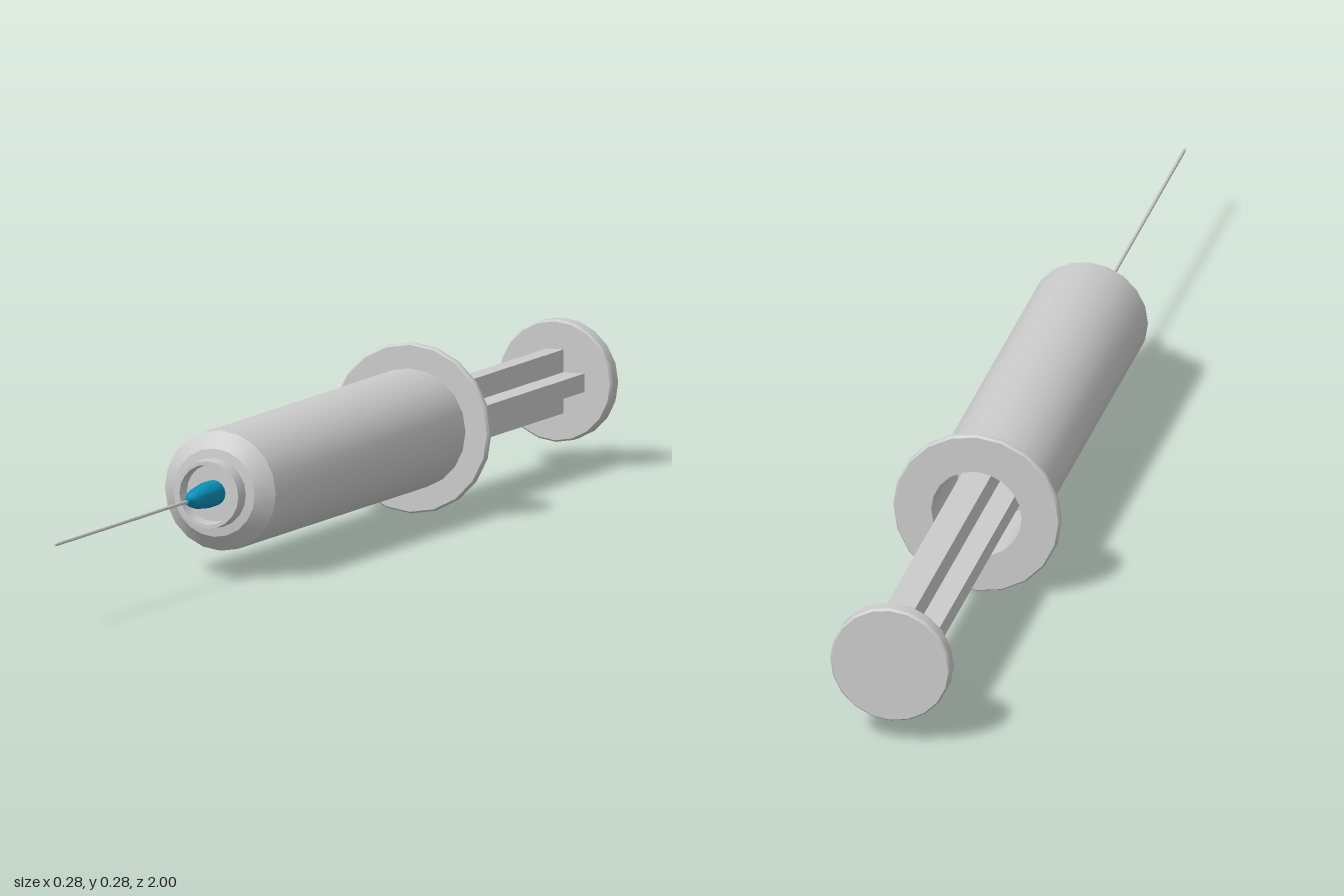
import * as THREE from 'three';
import { toCreasedNormals } from 'three/addons/utils/BufferGeometryUtils.js';

const AXIS_Y = 0.139;
const grey = new THREE.MeshStandardMaterial({ color: 0xcccccc, side: THREE.DoubleSide });
const blue = new THREE.MeshStandardMaterial({ color: 0x0a8fb8, side: THREE.DoubleSide });

// Revolves [radius, z] pairs around the long axis
function turned(name, profile, material = grey, sides = 20) {
  const points = profile.map(([r, z]) => new THREE.Vector2(r, z));
  const geometry = new THREE.LatheGeometry(points, sides).rotateX(Math.PI / 2);
  const mesh = new THREE.Mesh(toCreasedNormals(geometry, 0.5), material);
  mesh.name = name;
  return mesh;
}

// Plus-shaped bar running along z
function crossBar(halfWidth, halfThick, z0, z1) {
  const shape = new THREE.Shape();
  const w = halfWidth, t = halfThick;
  [[t, t], [t, w], [-t, w], [-t, t], [-w, t], [-w, -t],
    [-t, -t], [-t, -w], [t, -w], [t, -t], [w, -t], [w, t]]
    .forEach(([x, y], i) => (i ? shape.lineTo(x, y) : shape.moveTo(x, y)));
  const geometry = new THREE.ExtrudeGeometry(shape, { depth: z1 - z0, bevelEnabled: false });
  return geometry.translate(0, 0, z0);
}

export function createModel() {
  const model = new THREE.Group();
  model.name = 'syringe';
  const body = new THREE.Group();
  body.name = 'syringeBody';
  body.position.y = AXIS_Y;
  model.add(body);

  // Hollow barrel with sloped shoulder, nose collar and shallow recess
  body.add(turned('barrel', [
    [0.075, -0.402], [0.098, -0.402], [0.098, 0.345], [0.072, 0.37], [0.057, 0.372],
    [0.055, 0.397], [0.049, 0.397], [0.047, 0.372], [0, 0.372],
  ]));
  body.add(turned('barrelBore', [[0.075, 0.33], [0.075, -0.402]]));

  // Finger flange around the open rear end
  body.add(turned('fingerFlange', [
    [0.075, -0.415], [0.136, -0.415], [0.139, -0.411], [0.139, -0.404],
    [0.136, -0.4], [0.075, -0.4], [0.075, -0.415],
  ].map(([r, z]) => [r, z])));

  // Plunger: cross-section rod, thumb disc and inner stopper
  const plunger = new THREE.Group();
  plunger.name = 'plunger';
  const rod = new THREE.Mesh(crossBar(0.052, 0.015, -0.975, -0.24), grey);
  rod.name = 'plungerRod';
  plunger.add(rod);
  plunger.add(turned('thumbDisc', [
    [0, -1], [0.097, -1], [0.1, -0.996], [0.1, -0.974], [0.097, -0.97], [0, -0.97],
  ]));
  plunger.add(turned('stopper', [[0, -0.25], [0.074, -0.25], [0.074, -0.16], [0, -0.14]]));
  body.add(plunger);

  // Coloured needle hub, stepping down to the needle
  body.add(turned('needleHub', [
    [0, 0.37], [0.021, 0.37], [0.021, 0.405], [0.017, 0.44], [0.012, 0.458],
    [0.007, 0.465], [0.005, 0.48], [0, 0.48],
  ], blue, 16));

  // Fine needle with a sharp tip
  body.add(turned('needle', [[0.003, 0.46], [0.003, 0.985], [0, 1]], grey, 8));

  return model;
}
